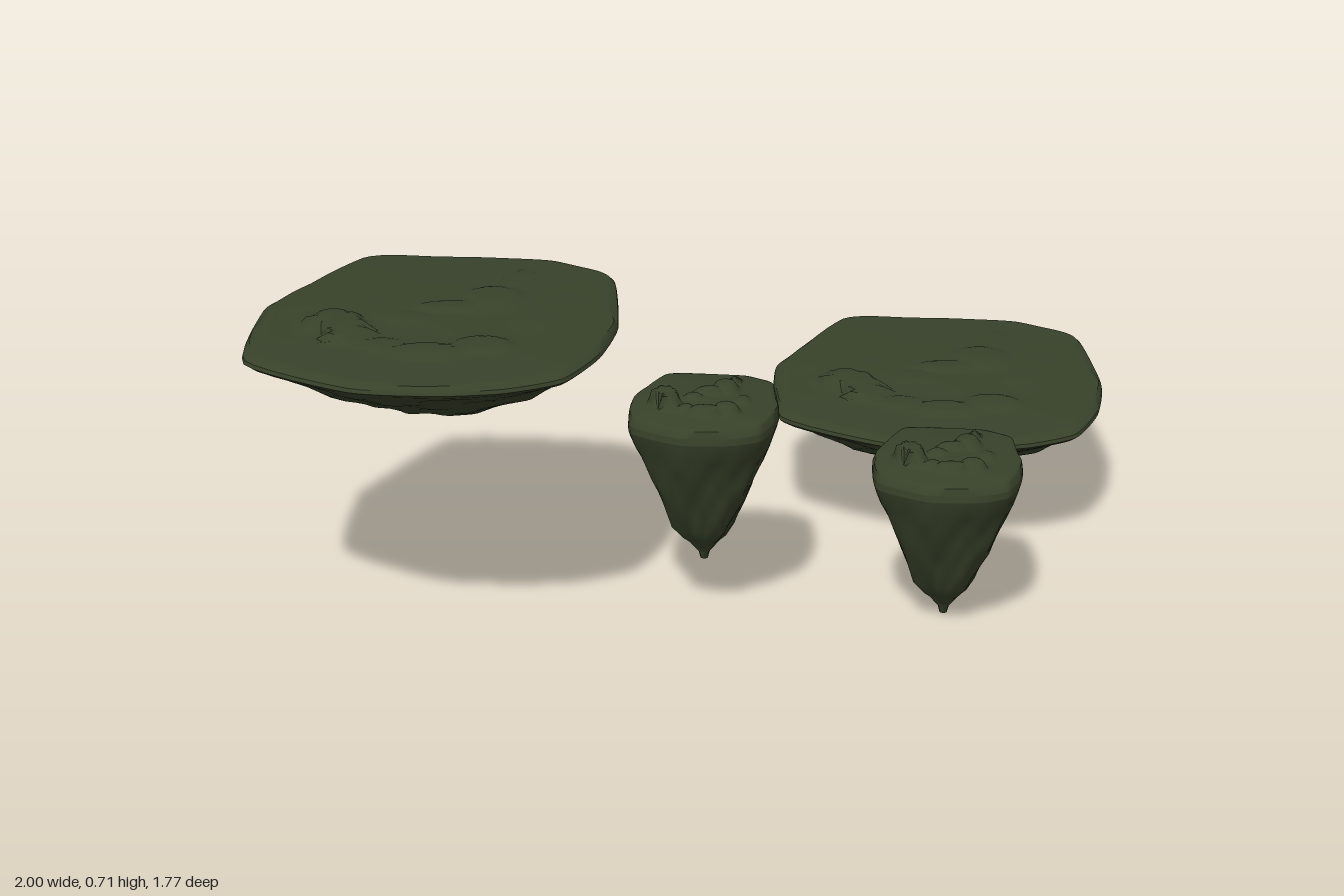
import * as THREE from 'three';
import { toCreasedNormals } from 'three/addons/utils/BufferGeometryUtils.js';

// Plan outline of one island (x, z), clockwise seen from above
const OUTLINE = [
  [-0.265, -0.465], [-0.13, -0.503], [0.08, -0.495], [0.22, -0.475], [0.33, -0.41],
  [0.38, -0.33], [0.42, 0], [0.40, 0.22], [0.34, 0.39], [0.22, 0.47], [0.08, 0.50],
  [-0.12, 0.49], [-0.385, 0.32], [-0.42, -0.04], [-0.39, -0.15],
];

// Side profile from the tip up to the edge of the top: [fraction of outline, height]
const PROFILE = [
  [0, 0], [0.045, 0.002], [0.07, 0.012], [0.13, 0.02], [0.19, 0.029], [0.28, 0.038],
  [0.4, 0.056], [0.51, 0.083], [0.62, 0.108], [0.72, 0.133], [0.81, 0.157], [0.9, 0.178],
  [0.975, 0.197], [1, 0.206], [0.995, 0.215], [0.965, 0.225],
];

// Raised rocks on the top: [x, z, radius x, radius z, height, edge softness]
const ROCKS = [
  [-0.23, 0.09, 0.075, 0.07, 0.019, 0.25], [-0.18, 0.17, 0.055, 0.085, 0.02, 0.25],
  [-0.09, 0.24, 0.07, 0.05, 0.008, 0.5], [0.02, 0.28, 0.10, 0.055, 0.011, 0.4],
  [0.14, 0.23, 0.08, 0.065, 0.010, 0.4], [0.11, -0.12, 0.08, 0.10, 0.010, 0.45],
  [0.02, -0.04, 0.09, 0.05, 0.009, 0.5], [-0.06, 0.05, 0.06, 0.06, 0.006, 0.6],
  [0.15, -0.28, 0.035, 0.10, 0.006, 0.6], [0.22, 0.04, 0.05, 0.08, 0.004, 0.7],
];

function topHeight(x, z, t) {
  let rise = 0;
  for (const [cx, cz, rx, rz, h, soft] of ROCKS) {
    const d = Math.hypot((x - cx) / rx, (z - cz) / rz);
    rise = Math.max(rise, h * (1 - THREE.MathUtils.smoothstep(d, 1 - soft, 1 + soft * 0.3)));
  }
  const ripple = 0.0015 * Math.sin(x * 21 + 2) * Math.sin(z * 17 + x * 9);
  return 0.225 + 0.010 * (1 - t * t) + ripple * (1 - t) + rise;
}

// Uneven gullies and ledges in the rock below the rim
function rockNoise(angle, y) {
  return 0.05 * Math.sin(angle * 5 + y * 30) + 0.035 * Math.sin(angle * 9 - y * 55 + 1)
    + 0.025 * Math.sin(angle * 16 + y * 90);
}

function islandGeometry() {
  const curve = new THREE.CatmullRomCurve3(
    OUTLINE.map(([x, z]) => new THREE.Vector3(x, 0, z)), true, 'catmullrom', 0.3);
  const edge = curve.getPoints(OUTLINE.length * 6).slice(0, -1);
  const n = edge.length;
  const positions = [];
  const index = [];

  // Underside and rim rings
  for (const [t, y] of PROFILE) {
    edge.forEach((p) => {
      const a = Math.atan2(p.z, p.x);
      const k = t * (1 + rockNoise(a, y) * (t < 0.97 ? 1 - t * t * 0.9 : 0));
      positions.push(p.x * k, y, p.z * k);
    });
  }
  // Top surface rings, closing at the centre
  const topRings = 32;
  for (let i = 1; i <= topRings; i++) {
    const t = 0.965 * (1 - i / topRings);
    edge.forEach((p) => {
      positions.push(p.x * t, topHeight(p.x * t, p.z * t, t), p.z * t);
    });
  }
  const rings = PROFILE.length + topRings;
  for (let i = 0; i < rings - 1; i++) {
    for (let j = 0; j < n; j++) {
      const a = i * n + j, b = i * n + (j + 1) % n, c = a + n, d = b + n;
      if (i < rings - 2) index.push(b, c, d);
      if (i > 0) index.push(a, c, b);
      // Collapsed rings keep only their one real triangle
    }
  }
  const geometry = new THREE.BufferGeometry();
  geometry.setAttribute('position', new THREE.Float32BufferAttribute(positions, 3));
  geometry.setIndex(index);
  return toCreasedNormals(geometry, Math.PI / 5);
}

export function createModel() {
  const model = new THREE.Group();
  model.name = 'floatingIslands';
  const material = new THREE.MeshStandardMaterial({ color: 0x38422a });
  const geometry = islandGeometry();

  // Two wide islands and two small steep ones
  const islands = [
    ['wideIslandRight', [-0.58, 0.46, 0.38], [1, 1, 1]],
    ['wideIslandLeft', [0.58, 0.085, -0.385], [1, 1, 1]],
    ['smallIslandMiddle', [0.043, 0.12, 0.428], [0.413, 1.73, 0.413]],
    ['smallIslandLeft', [0.605, 0, 0.428], [0.413, 1.73, 0.413]],
  ];
  for (const [name, position, scale] of islands) {
    const island = new THREE.Mesh(geometry, material);
    island.name = name;
    island.position.set(...position);
    island.scale.set(...scale);
    model.add(island);
  }
  return model;
}
